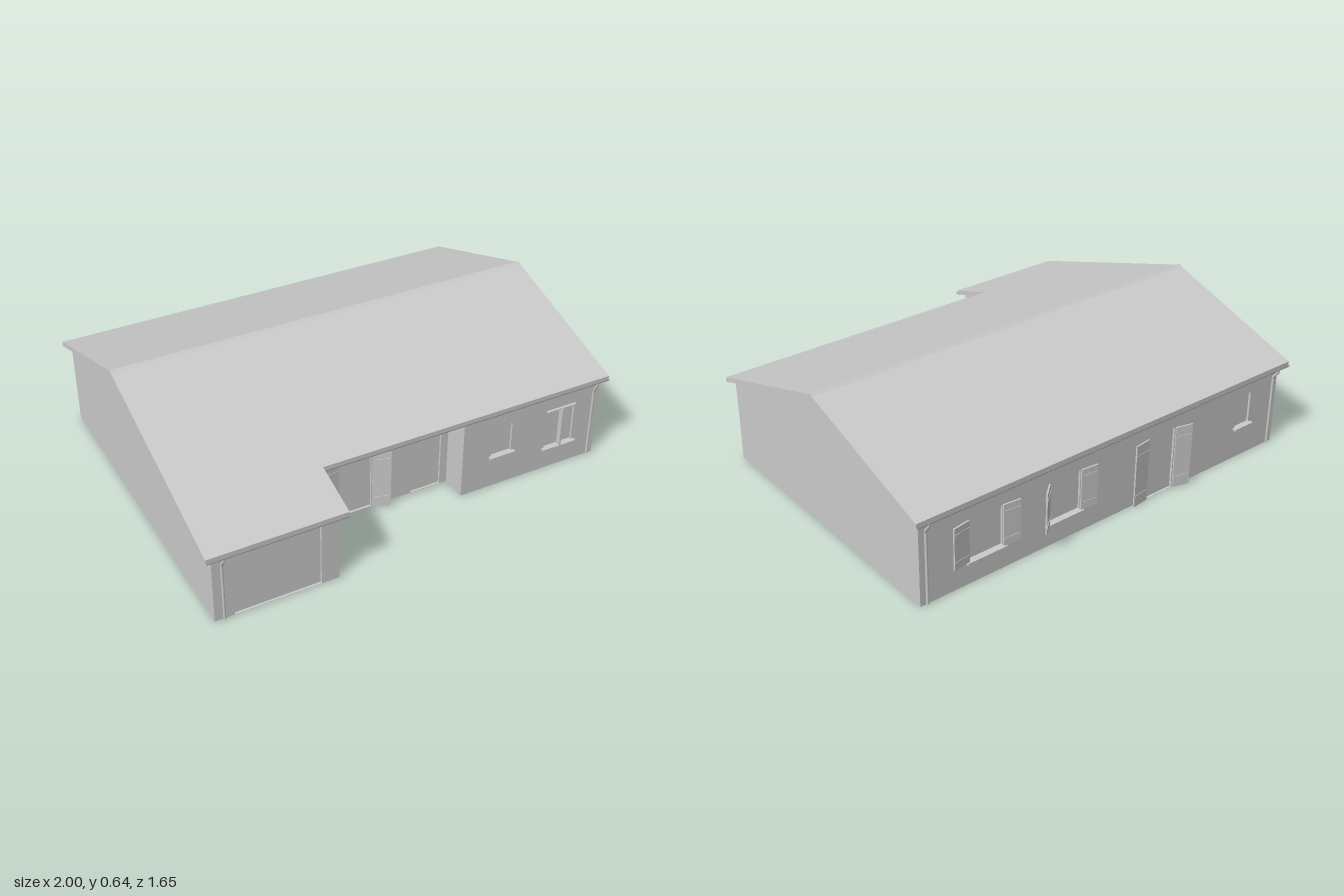
import * as THREE from 'three';

const material = new THREE.MeshStandardMaterial({ color: 0xcccccc, flatShading: true });
const openMaterial = new THREE.MeshStandardMaterial({ color: 0xcccccc, side: THREE.DoubleSide });
const T = 0.014;                                   // wall thickness
const RIDGE = { z: -0.115, y: 0.63 };
const FRONT = 0.575, PORCH = 0.455, GARAGE = 0.79, BACK = -0.77;

// Height of the roof surface above a given depth
const roofY = z => RIDGE.y - (z > RIDGE.z ? (z - RIDGE.z) * 0.317 : (RIDGE.z - z) * 0.33);
const underY = z => roofY(z) - 0.022;

function add(parent, name, geometry, mat = material) {
  const mesh = new THREE.Mesh(geometry, mat);
  mesh.name = name;
  parent.add(mesh);
  return mesh;
}

function box(parent, name, w, h, d, x, y, z) {
  const mesh = add(parent, name, new THREE.BoxGeometry(w, h, d));
  mesh.position.set(x, y, z);
  return mesh;
}

// Extrude a [z, y] outline along x from x0 to x1
function alongX(parent, name, outline, x0, x1) {
  const shape = new THREE.Shape(outline.map(([z, y]) => new THREE.Vector2(-z, y)));
  const geo = new THREE.ExtrudeGeometry(shape, { depth: x1 - x0, bevelEnabled: false });
  geo.rotateY(Math.PI / 2).translate(x0, 0, 0);
  return add(parent, name, geo);
}

// Outline of an opening, with an optional shallow arch
function trace(path, { x0, x1, y0, y1, arch = 0 }) {
  path.moveTo(x0, y0);
  path.lineTo(x1, y0);
  path.lineTo(x1, y1);
  if (arch) path.quadraticCurveTo((x0 + x1) / 2, y1 + arch * 2, x0, y1);
  else path.lineTo(x0, y1);
  path.closePath();
  return path;
}

// Wall facing +z (f = 1) or -z (f = -1), with openings closed by inset panels
function wall(parent, name, x0, x1, z, f, openings = []) {
  const shape = trace(new THREE.Shape(), { x0, x1, y0: 0, y1: underY(z) });
  openings.forEach(o => shape.holes.push(trace(new THREE.Path(), o)));
  const geo = new THREE.ExtrudeGeometry(shape, { depth: T, bevelEnabled: false, curveSegments: 8 });
  geo.translate(0, 0, f > 0 ? z - T : z);
  add(parent, name, geo);
  for (const o of openings) {
    const panel = new THREE.ExtrudeGeometry(trace(new THREE.Shape(), o), { depth: 0.004, bevelEnabled: false, curveSegments: 8 });
    panel.translate(0, 0, z - f * (T - 0.002) - 0.002);
    add(parent, o.name, panel);
    if (o.sill) box(parent, 'windowSill', o.x1 - o.x0 + 0.025, 0.01, 0.022, (o.x0 + o.x1) / 2, o.y0 - 0.005, z + f * 0.008);
  }
}

// Shutter leaf hinged at x, opening towards side (+1 / -1), swung out by angle
function shutter(parent, x, z, f, side, angle, y0, y1, w = 0.08) {
  const leaf = new THREE.Group();
  leaf.name = 'shutter';
  const h = y1 - y0, dx = Math.cos(angle) * side, dz = Math.sin(angle) * f;
  box(leaf, 'shutterBoard', w, h, 0.007, w / 2, h / 2, 0);
  for (const t of [0.17, 0.83]) box(leaf, 'shutterBatten', w * 0.92, 0.009, 0.011, w / 2, h * t, 0);
  leaf.position.set(x, y0, z + f * 0.007);
  leaf.rotation.y = Math.atan2(-dz, dx);
  parent.add(leaf);
}

// Half-round gutter under an eave
function gutter(parent, x0, x1, z, y) {
  const geo = new THREE.CylinderGeometry(0.011, 0.011, x1 - x0, 10, 1, true, 0, Math.PI);
  geo.rotateZ(Math.PI / 2).rotateX(0);
  // Turn the trough so that it opens upwards
  geo.computeBoundingBox();
  if (geo.boundingBox.max.y > 0.005) geo.rotateX(Math.PI);
  const mesh = add(parent, 'gutter', geo, openMaterial);
  mesh.position.set((x0 + x1) / 2, y, z);
}

// Downpipe running from the gutter back to the wall and down to the ground
function downpipe(parent, x, gutterZ, wallZ, f, top) {
  const z = wallZ + f * 0.005;
  const path = new THREE.CurvePath();
  const points = [[top, gutterZ], [top - 0.018, gutterZ], [top - 0.05, z], [0.004, z]]
    .map(([y, pz]) => new THREE.Vector3(x, y, pz));
  for (let i = 0; i < 3; i++) path.add(new THREE.LineCurve3(points[i], points[i + 1]));
  add(parent, 'downpipe', new THREE.TubeGeometry(path, 40, 0.006, 8), openMaterial);
}

function createModel() {
  const house = new THREE.Group();
  house.name = 'house';

  // Gable walls
  const gable = front => [[BACK, 0], [front, 0], [front, underY(front)], [RIDGE.z, underY(RIDGE.z)], [BACK, underY(BACK)]];
  alongX(house, 'leftGableWall', gable(FRONT), 0.97 - T, 0.97);
  alongX(house, 'rightGableWall', gable(GARAGE), -0.97, -0.97 + T);

  // Short return walls beside the porch
  const returnWall = (a, b) => [[a, 0], [b, 0], [b, underY(b)], [a, underY(a)]];
  alongX(house, 'garageSideWall', returnWall(PORCH, GARAGE), -0.43 - T, -0.43);
  alongX(house, 'porchSideWall', returnWall(PORCH, FRONT), 0.275, 0.275 + T);

  // Front walls
  wall(house, 'garageFrontWall', -0.97, -0.43, GARAGE, 1, [
    { name: 'garageDoor', x0: -0.885, x1: -0.51, y0: 0.001, y1: 0.312 },
  ]);
  wall(house, 'porchWall', -0.43, 0.275 + T, PORCH, 1, [
    { name: 'porchGlassDoor', x0: -0.26, x1: -0.1, y0: 0.001, y1: 0.302 },
    { name: 'frontDoor', x0: 0.095, x1: 0.24, y0: 0.001, y1: 0.302 },
  ]);
  wall(house, 'frontWall', 0.275, 0.97, FRONT, 1, [
    { name: 'smallFrontWindow', x0: 0.42, x1: 0.52, y0: 0.16, y1: 0.302, sill: true },
    { name: 'frontWindow', x0: 0.7, x1: 0.845, y0: 0.11, y1: 0.302, sill: true },
  ]);
  shutter(house, -0.26, PORCH, 1, -1, 0.15, 0.005, 0.298, 0.075);
  shutter(house, -0.1, PORCH, 1, 1, 0.4, 0.005, 0.298);

  // Front window bar and lintel
  box(house, 'windowBar', 0.008, 0.19, 0.024, 0.772, 0.206, FRONT + 0.008);
  box(house, 'windowLintel', 0.15, 0.006, 0.016, 0.772, 0.3, FRONT + 0.004);

  // Back wall with shuttered windows and glass door
  wall(house, 'backWall', -0.97, 0.97, BACK, -1, [
    { name: 'backWindow', x0: 0.58, x1: 0.745, y0: 0.11, y1: 0.292, arch: 0.014, sill: true },
    { name: 'backWindow', x0: 0.185, x1: 0.35, y0: 0.11, y1: 0.292, arch: 0.014, sill: true },
    { name: 'backGlassDoor', x0: -0.34, x1: -0.185, y0: 0.001, y1: 0.292, arch: 0.014 },
    { name: 'smallBackWindow', x0: -0.805, x1: -0.72, y0: 0.155, y1: 0.302, sill: true },
  ]);
  shutter(house, 0.745, BACK, -1, 1, 0.15, 0.11, 0.298);
  shutter(house, 0.58, BACK, -1, -1, 0.1, 0.11, 0.298);
  shutter(house, 0.35, BACK, -1, 1, 0.72, 0.11, 0.298, 0.075);
  shutter(house, 0.185, BACK, -1, -1, 0.1, 0.11, 0.298);
  shutter(house, -0.185, BACK, -1, 1, 0.12, 0.005, 0.298);
  shutter(house, -0.34, BACK, -1, -1, 0.25, 0.005, 0.298);

  // Roof slabs: a long slope over the garage, a shorter one over the rest
  const slab = (a, b) => [[a, roofY(a)], [b, roofY(b)], [b, underY(b)], [a, underY(a)]];
  alongX(house, 'backRoof', slab(RIDGE.z, -0.803), -1, 1);
  alongX(house, 'frontRoof', slab(RIDGE.z, 0.597), -0.4, 1);
  alongX(house, 'garageRoof', slab(RIDGE.z, 0.815), -1, -0.4);
  alongX(house, 'ridgeCap', [[-0.13, 0.626], [-0.115, 0.636], [-0.1, 0.626]], -1, 1);

  // Gutters and downpipes
  gutter(house, -1, 1, -0.802, underY(-0.802) + 0.008);
  gutter(house, -0.4, 1, 0.594, underY(0.594) + 0.008);
  gutter(house, -1, -0.4, 0.813, underY(0.813) + 0.008);
  downpipe(house, 0.94, 0.597, FRONT, 1, 0.385);
  downpipe(house, -0.93, 0.815, GARAGE, 1, 0.318);
  for (const x of [-0.94, 0.94]) downpipe(house, x, -0.8, BACK, -1, 0.385);

  return house;
}

export { createModel };
